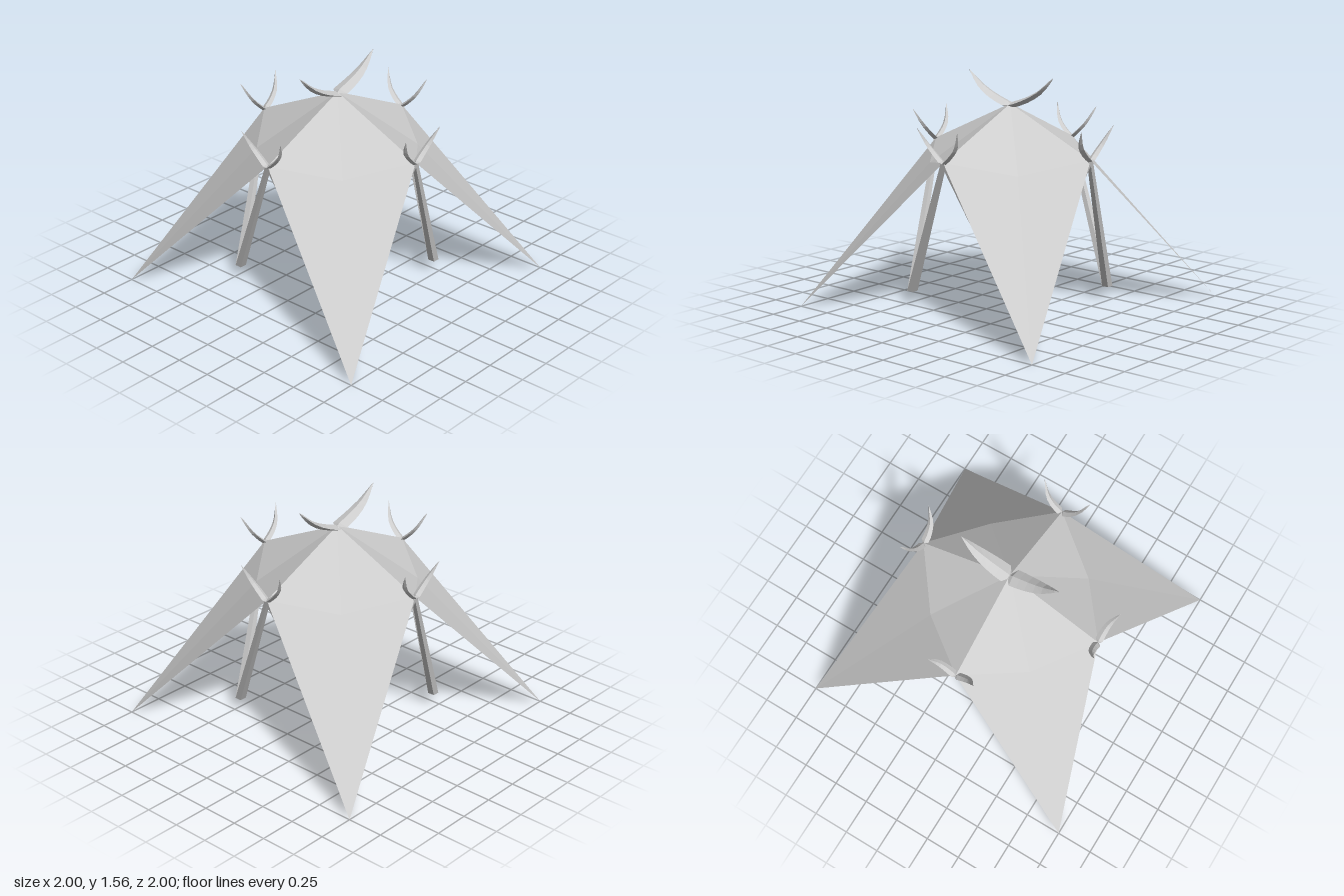
import * as THREE from 'three';

const v = (x, y, z) => new THREE.Vector3(x, y, z);

function build(points, index) {
  const g = new THREE.BufferGeometry().setFromPoints(points);
  g.setIndex(index);
  const flat = g.toNonIndexed();
  flat.computeVertexNormals();
  return flat;
}

// Tapered horn with a diamond section swept along a curve
function hornGeometry(path, widthDir, width, thickness) {
  const curve = new THREE.CatmullRomCurve3(path);
  const profile = [[0, 0.3], [0.07, 1], [0.2, 0.98], [0.35, 0.9], [0.5, 0.78], [0.65, 0.6], [0.8, 0.38], [0.9, 0.2], [1, 0.01]];
  const points = [], index = [];
  profile.forEach(([t, s], i) => {
    const c = curve.getPointAt(t), T = curve.getTangentAt(t);
    const W = widthDir.clone().addScaledVector(T, -widthDir.dot(T)).normalize();
    const N = T.clone().cross(W);
    const w = width * s, n = thickness * Math.sqrt(s);
    points.push(c.clone().addScaledVector(W, w), c.clone().addScaledVector(N, n),
      c.clone().addScaledVector(W, -w), c.clone().addScaledVector(N, -n));
    if (i === 0) return;
    for (let j = 0; j < 4; j++) {
      const a = (i - 1) * 4 + j, b = (i - 1) * 4 + (j + 1) % 4;
      index.push(a, b, b + 4, a, b + 4, a + 4);
    }
  });
  index.push(0, 2, 1, 0, 3, 2);
  return build(points, index);
}

// Slanted square pole with level ends
function poleGeometry(foot, top, r0, r1) {
  const points = [], index = [0, 1, 2, 0, 2, 3, 4, 6, 5, 4, 7, 6];
  for (const [c, r] of [[foot, r0], [top, r1]]) {
    for (const [x, z] of [[-1, -1], [1, -1], [1, 1], [-1, 1]]) points.push(v(c.x + x * r, c.y, c.z + z * r));
  }
  for (let j = 0; j < 4; j++) {
    const a = j, b = (j + 1) % 4;
    index.push(a, a + 4, b + 4, a, b + 4, b);
  }
  return build(points, index);
}

export function createModel() {
  const model = new THREE.Group();
  model.name = 'canopyTent';
  const grey = new THREE.MeshStandardMaterial({ color: 0xcccccc, flatShading: true, side: THREE.DoubleSide });
  grey.name = 'lightGrey';
  const add = (parent, geometry, name) => {
    const m = new THREE.Mesh(geometry, grey);
    m.name = name;
    parent.add(m);
  };

  // One canopy quarter: peak, two eaves, shoulder crease and ground corner
  const panel = build(
    [v(0, 1.36, 0), v(0, 1.055, 0.67), v(0.67, 1.055, 0), v(0.38, 0.97, 0.38), v(1, 0, 1)],
    [0, 1, 3, 0, 3, 2, 1, 4, 3, 3, 4, 2]);

  // Two poles meet at each foot and rise to the neighbouring eaves
  const foot = v(0.47, 0.09, 0.47);
  const poles = [v(0, 1.05, 0.665), v(0.665, 1.05, 0)].map(top => poleGeometry(foot, top, 0.025, 0.014));

  // Small horns spread sideways above each eave
  const eaveHorns = [1, -1].map(s => hornGeometry(
    [v(0, 1.045, 0.668), v(s * 0.055, 1.09, 0.668), v(s * 0.115, 1.155, 0.68), v(s * 0.172, 1.27, 0.725)],
    v(0, 0, 1), 0.027, 0.013));

  for (let i = 0; i < 4; i++) {
    const side = new THREE.Group();
    side.name = 'quarter' + (i + 1);
    side.rotation.y = i * Math.PI / 2;
    add(side, panel, 'canopyPanel');
    poles.forEach(g => add(side, g, 'pole'));
    eaveHorns.forEach(g => add(side, g, 'eaveHorn'));
    model.add(side);
  }

  // Large pair of horns on the peak
  for (const s of [1, -1]) {
    add(model, hornGeometry(
      [v(0, 1.345, 0), v(s * 0.14, 1.395, 0), v(s * 0.25, 1.455, 0), v(s * 0.36, 1.557, 0)],
      v(0, 0, 1), 0.062, 0.02), 'peakHorn');
  }
  return model;
}
